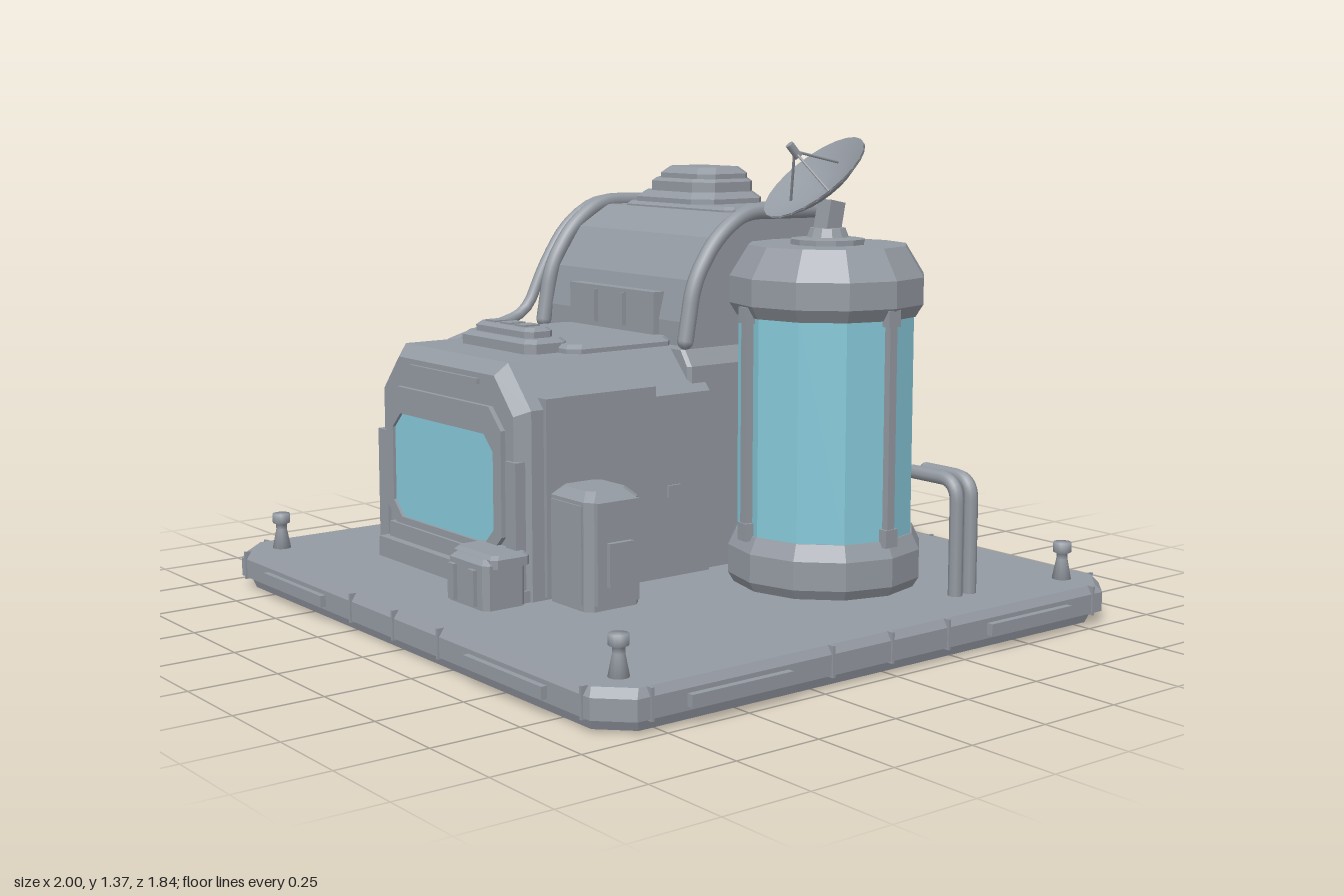
import * as THREE from 'three';

const grey = new THREE.MeshStandardMaterial({ color: 0x949aa2 });
grey.name = 'grey metal';
const glass = new THREE.MeshStandardMaterial({ color: 0x86c8d9 });
glass.name = 'blue glass';

// Maps a 2D outline (counter-clockwise) to 3D at distance t along an axis
const place = {
  x: ([a, b], t) => [t, b, -a],
  y: ([a, b], t) => [a, t, -b],
  z: ([a, b], t) => [a, b, t],
};

// Flat-sided solid through outlines: sections = [[t, outline], ...]
function loft(axis, sections) {
  const loops = sections.map(([t, o]) => o.map(p => place[axis](p, t)));
  const pos = [];
  const tri = (a, b, c) => pos.push(...a, ...b, ...c);
  const n = loops[0].length;
  for (let k = 0; k + 1 < loops.length; k++) {
    for (let i = 0; i < n; i++) {
      const j = (i + 1) % n, A = loops[k], B = loops[k + 1];
      tri(A[i], A[j], B[j]);
      tri(A[i], B[j], B[i]);
    }
  }
  const first = loops[0], last = loops[loops.length - 1];
  for (let i = 1; i < n - 1; i++) {
    tri(first[0], first[i + 1], first[i]);
    tri(last[0], last[i], last[i + 1]);
  }
  const g = new THREE.BufferGeometry();
  g.setAttribute('position', new THREE.Float32BufferAttribute(pos, 3));
  g.computeVertexNormals();
  return g;
}

// Rectangle with cut corners
const oct = (a0, a1, b0, b1, c) => [
  [a0 + c, b0], [a1 - c, b0], [a1, b0 + c], [a1, b1 - c],
  [a1 - c, b1], [a0 + c, b1], [a0, b1 - c], [a0, b0 + c],
];

export function createModel() {
  const root = new THREE.Group();
  root.name = 'outpost';

  const add = (name, geo, mat = grey, parent = root) => {
    const m = new THREE.Mesh(geo, mat);
    m.name = name;
    parent.add(m);
    return m;
  };
  const box = (name, x0, x1, y0, y1, z0, z1, mat = grey) => {
    const m = add(name, new THREE.BoxGeometry(x1 - x0, y1 - y0, z1 - z0), mat);
    m.position.set((x0 + x1) / 2, (y0 + y1) / 2, (z0 + z1) / 2);
    return m;
  };
  // Cut-corner slab with a bevelled top edge
  const slab = (name, x0, x1, y0, y1, z0, z1, c, bevel) => add(name, loft('y', [
    [y0, oct(x0, x1, -z1, -z0, c)],
    [y1 - bevel, oct(x0, x1, -z1, -z0, c)],
    [y1, oct(x0 + bevel, x1 - bevel, -z1 + bevel, -z0 - bevel, c)],
  ]));
  const pipe = (name, pts, r) => {
    const path = new THREE.CurvePath();
    const v = pts.map(p => new THREE.Vector3(...p));
    let from = v[0];
    for (let i = 1; i < v.length - 1; i++) { // rounded bends
      const d0 = v[i - 1].clone().sub(v[i]), d1 = v[i + 1].clone().sub(v[i]);
      const k = Math.min(0.06, d0.length() * 0.45, d1.length() * 0.45);
      const a = v[i].clone().add(d0.setLength(k)), b = v[i].clone().add(d1.setLength(k));
      path.add(new THREE.LineCurve3(from, a));
      path.add(new THREE.QuadraticBezierCurve3(a, v[i], b));
      from = b;
    }
    path.add(new THREE.LineCurve3(from, v[v.length - 1]));
    const g = add(name, new THREE.TubeGeometry(path, 48, r, 8));
    for (const e of [v[0], v[v.length - 1]]) add(name + 'End', new THREE.SphereGeometry(r, 8, 6)).position.copy(e);
    return g;
  };

  // Base platform
  const plate = (y, x, z) => [y, oct(-x, x, -z, z, 0.08)];
  add('platform', loft('y', [plate(0, 0.945, 0.875), plate(0.03, 0.955, 0.885), plate(0.035, 0.98, 0.905),
    plate(0.09, 0.98, 0.905), plate(0.112, 0.965, 0.89)]));
  for (const s of [-1, 1]) {
    for (const t of [-0.55, 0.55]) {
      box('edgePanel', t - 0.175, t + 0.175, 0.045, 0.078, s * 0.91 - 0.012, s * 0.91 + 0.012);
    }
    for (const t of [-0.515, 0.515]) {
      box('sidePanel', s * 0.985 - 0.014, s * 0.985 + 0.014, 0.045, 0.078, t - 0.16, t + 0.16);
    }
    for (const t of [-0.87, -0.23, 0, 0.23, 0.87]) {
      box('edgeRib', t - 0.004, t + 0.004, 0.03, 0.113, s * 0.9 - 0.01, s * 0.9 + 0.01);
      box('sideRib', s * 0.975 - 0.01, s * 0.975 + 0.01, 0.03, 0.113, t * 0.9 - 0.004, t * 0.9 + 0.004);
    }
    // Corner bollards
    for (const t of [-1, 1]) {
      const pts = [[0, 0.11], [0.028, 0.11], [0.016, 0.17], [0.016, 0.185], [0.026, 0.19], [0.026, 0.218], [0, 0.218]];
      add('bollard', new THREE.LatheGeometry(pts.map(p => new THREE.Vector2(...p)), 12)).position.set(s * 0.86, 0, t * 0.79);
    }
  }

  // Rear block and its curved upper storey
  add('rearBlock', loft('y', [
    [0.11, oct(-0.635, 0.14, 0, 0.61, 0.01)],
    [0.71, oct(-0.635, 0.14, 0, 0.61, 0.01)],
    [0.755, oct(-0.605, 0.11, 0, 0.58, 0.01)],
  ]));
  const upper = [[0.03, 0.74], [0.57, 0.74], [0.57, 1.1], [0.545, 1.135], [0.25, 1.135], [0.14, 1.07], [0.06, 0.95], [0.03, 0.83]];
  add('upperStorey', loft('x', [[-0.6, upper], [0.1, upper]]));
  slab('roofPlate', -0.52, 0, 1.13, 1.15, -0.56, -0.26, 0.02, 0.01);
  slab('roofHatchBase', -0.51, -0.14, 1.14, 1.185, -0.55, -0.27, 0.05, 0.02);
  slab('roofHatchBody', -0.46, -0.16, 1.18, 1.225, -0.53, -0.29, 0.05, 0.01);
  slab('roofHatchCap', -0.43, -0.17, 1.22, 1.26, -0.51, -0.31, 0.04, 0.02);
  box('upperPanel', -0.46, -0.04, 0.77, 0.91, -0.06, -0.01);
  for (const x of [-0.32, -0.18]) box('panelBar', x - 0.006, x + 0.006, 0.8, 0.9, -0.02, 0.005);

  // Pipes over the upper storey
  const over = x => [[x, 1.14, -0.54], [x, 1.145, -0.23], [x, 1.07, -0.12], [x, 0.95, -0.04], [x, 0.78, -0.01]];
  pipe('roofPipeRight', over(0.11), 0.024);
  pipe('roofPipeLeft', over(-0.605), 0.024);
  pipe('longPipe', [...over(-0.645).slice(0, 4), [-0.645, 0.8, 0.03], [-0.645, 0.71, 0.36], [-0.645, 0.18, 0.36]], 0.018);
  pipe('tankLink', [[0.08, 0.92, -0.5], [0.2, 0.92, -0.51], [0.32, 0.92, -0.42]], 0.028);

  // Front cabin
  const cabin = d => [[-0.595 + d, 0.11], [0.16 - d, 0.11], [0.16 - d, 0.64 - d / 2], [0.05 - d / 2, 0.76 - d],
    [-0.49 + d / 2, 0.76 - d], [-0.595 + d, 0.64 - d / 2]];
  add('cabin', loft('z', [[-0.06, cabin(0)], [0.56, cabin(0)], [0.595, cabin(0.035)]]));
  slab('cabinRoof', -0.48, 0.03, 0.755, 0.785, -0.04, 0.33, 0.03, 0.012);
  slab('cabinHatchBase', -0.41, -0.04, 0.755, 0.8, 0.285, 0.43, 0.025, 0.012);
  slab('cabinHatchCap', -0.37, -0.08, 0.79, 0.828, 0.31, 0.405, 0.02, 0.01);
  for (let i = 0; i < 3; i++) box('hatchSlat', -0.33 + i * 0.075, -0.28 + i * 0.075, 0.826, 0.833, 0.33, 0.385);
  box('cabinSkirt', -0.59, 0.155, 0.11, 0.145, 0.0, 0.605);
  box('windowShelf', -0.52, 0.08, 0.14, 0.19, 0.58, 0.645);
  box('windowSill', -0.5, 0.06, 0.19, 0.235, 0.58, 0.62);
  box('browStrip', -0.4, -0.04, 0.695, 0.71, 0.58, 0.605);
  for (const s of [-1, 1]) {
    const m = -0.2175;
    const bar = (name, a, b, y0, y1, z0, z1) => box(name, Math.min(m + s * a, m + s * b), Math.max(m + s * a, m + s * b), y0, y1, z0, z1);
    bar('cornerPillar', 0.345, 0.39, 0.12, 0.67, 0.46, 0.52);
    bar('frontPillar', 0.315, 0.365, 0.14, 0.5, 0.55, 0.605);
    bar('cabinSidePanel', 0.37, 0.383, 0.36, 0.67, 0.14, 0.46);
    bar('cabinSideVent', 0.37, 0.385, 0.345, 0.38, 0.05, 0.095);
  }
  // Window: frame with opening, glass pane
  const shape = new THREE.Shape(oct(-0.525, 0.085, 0.225, 0.64, 0.06).map(p => new THREE.Vector2(...p)));
  shape.holes.push(new THREE.Path(oct(-0.49, 0.045, 0.255, 0.562, 0.045).map(p => new THREE.Vector2(...p))));
  add('windowFrame', new THREE.ExtrudeGeometry(shape, { depth: 0.02, bevelEnabled: false })).position.z = 0.59;
  add('windowGlass', loft('z', [[0.594, oct(-0.495, 0.05, 0.25, 0.567, 0.045)], [0.601, oct(-0.495, 0.05, 0.25, 0.567, 0.045)]]), glass);

  // Equipment cabinets
  slab('tallCabinet', 0.16, 0.35, 0.11, 0.435, 0.33, 0.51, 0.02, 0.025);
  box('cabinetDoor', 0.345, 0.365, 0.13, 0.41, 0.35, 0.49);
  box('cabinetFront', 0.185, 0.325, 0.13, 0.4, 0.505, 0.515);
  box('cabinetVent', 0.36, 0.38, 0.18, 0.3, 0.38, 0.46);
  slab('smallCabinet', -0.02, 0.17, 0.11, 0.25, 0.585, 0.72, 0.015, 0.015);
  slab('smallCabinetLid', -0.03, 0.18, 0.225, 0.26, 0.575, 0.7, 0.015, 0.01);
  for (const x of [0, 0.1]) box('smallCabinetRib', x, x + 0.03, 0.12, 0.22, 0.71, 0.732);

  // Tank
  const tank = new THREE.Group();
  tank.name = 'tank';
  tank.position.set(0.44, 0, -0.255);
  root.add(tank);
  const ring = (name, pts, mat) => {
    const g = new THREE.LatheGeometry(pts.map(p => new THREE.Vector2(...p)), 12).toNonIndexed();
    g.computeVertexNormals();
    return add(name, g, mat, tank);
  };
  ring('tankFoot', [[0, 0.11], [0.26, 0.11], [0.278, 0.14], [0.278, 0.22], [0.256, 0.265], [0.24, 0.265]]);
  ring('tankGlass', [[0.252, 0.25], [0.252, 0.89]], glass);
  ring('tankCap', [[0.24, 0.875], [0.256, 0.875], [0.278, 0.91], [0.278, 0.985], [0.225, 1.07], [0, 1.07]]);
  for (let i = 0; i < 4; i++) {
    const a = i * Math.PI / 2;
    const holder = new THREE.Group();
    holder.name = 'tankPost';
    holder.rotation.y = a - (i % 2 ? 0 : 0.18);
    tank.add(holder);
    for (const [w, y0, y1, d] of [[0.026, 0.27, 0.9, 0.026], [0.044, 0.25, 0.3, 0.034], [0.044, 0.86, 0.905, 0.034]]) {
      add('post', new THREE.BoxGeometry(w, y1 - y0, d), grey, holder).position.set(0, (y0 + y1) / 2, 0.256);
    }
  }
  for (const z of [-0.405, -0.46]) pipe('tankPipe', [[0.64, 0.435, z], [0.812, 0.435, z], [0.812, 0.11, z]], 0.02);

  // Dish on its mount
  ring('dishMount', [[0.105, 1.06], [0.105, 1.085], [0.06, 1.09], [0.05, 1.115], [0, 1.115]]);
  box('dishNeck', 0.41, 0.465, 1.1, 1.19, -0.29, -0.235).rotation.x = -0.2;
  const dish = new THREE.Group();
  dish.name = 'dish';
  dish.position.set(0.425, 1.225, -0.245);
  dish.quaternion.setFromUnitVectors(new THREE.Vector3(0, 1, 0), new THREE.Vector3(-0.16, 0.76, 0.62).normalize());
  root.add(dish);
  const curve = [[0, -0.012], [0.06, -0.006], [0.12, 0.012], [0.168, 0.036], [0.168, 0.042], [0.12, 0.018], [0.06, 0], [0, -0.006]];
  add('dishBowl', new THREE.LatheGeometry(curve.map(p => new THREE.Vector2(...p)), 24), grey, dish);
  const rod = (name, a, b, r) => {
    const m = add(name, new THREE.CylinderGeometry(r, r, a.distanceTo(b), 6), grey, dish);
    m.position.copy(a).lerp(b, 0.5);
    m.quaternion.setFromUnitVectors(new THREE.Vector3(0, 1, 0), b.clone().sub(a).normalize());
  };
  const tip = new THREE.Vector3(0, 0.135, 0);
  for (let i = 0; i < 3; i++) {
    const a = i * Math.PI * 2 / 3 + 0.5;
    rod('feedStrut', new THREE.Vector3(0.1 * Math.cos(a), 0.01, 0.1 * Math.sin(a)), tip, 0.004);
  }
  rod('feedHorn', new THREE.Vector3(0, 0.115, 0), new THREE.Vector3(0, 0.16, 0), 0.013);
  return root;
}
